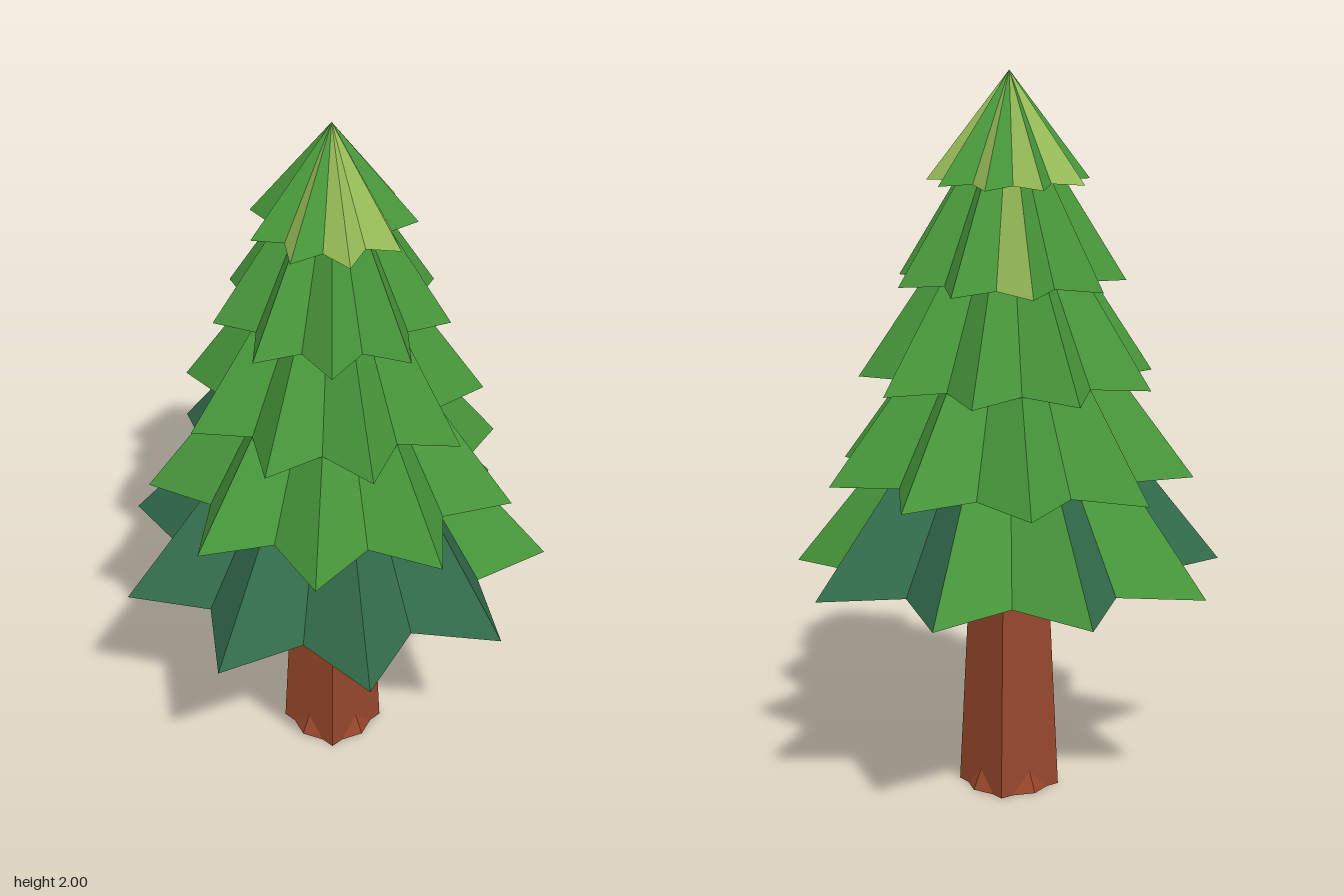
import * as THREE from 'three';

const mat = (name, color) => {
  const m = new THREE.MeshStandardMaterial({ color, flatShading: true });
  m.name = name;
  return m;
};

// Flat-faced geometry from a list of corner points, three per face
function facets(points) {
  const g = new THREE.BufferGeometry().setFromPoints(points);
  g.computeVertexNormals();
  return g;
}

function addMesh(parent, name, geometry, material) {
  const mesh = new THREE.Mesh(geometry, material);
  mesh.name = name;
  parent.add(mesh);
  return mesh;
}

export function createModel() {
  const model = new THREE.Group();
  model.name = 'pineTree';
  const tree = new THREE.Group();
  tree.name = 'tree';
  tree.position.set(-0.006, 0, -0.011);
  model.add(tree);

  const bark = mat('barkBrown', 0x97472b);
  const leaf = {
    G: mat('leafGreen', 0x48983b),
    T: mat('deepTeal', 0x336d4d),
    Y: mat('limeGreen', 0x99bf59),
  };

  // Square tapering trunk
  const trunk = new THREE.CylinderGeometry(0.068 * Math.SQRT2, 0.099 * Math.SQRT2, 0.9, 4);
  trunk.rotateY(Math.PI / 4).translate(0, 0.45, 0);
  addMesh(tree, 'trunk', trunk, bark);

  // One small root wedge on each side of the trunk
  const left = new THREE.Vector3(-0.07, 0, 0.095);
  const right = new THREE.Vector3(0.07, 0, 0.095);
  const toe = new THREE.Vector3(0, 0, 0.122);
  const top = new THREE.Vector3(0, 0.06, 0.096);
  const rootShape = facets([left, toe, top, toe, right, top, left, right, toe]);
  for (let i = 0; i < 4; i++) {
    addMesh(tree, 'root', rootShape, bark).rotation.y = (i * Math.PI) / 2;
  }

  // Star-shaped tiers: nine points, two coloured facets per point
  const tiers = [
    { y: 0.623, apex: 1.385, r: 0.6, turn: 5.5, colors: 'TGGGTTTTTTTTTGTGGT' },
    { y: 0.895, apex: 1.58, r: 0.506, turn: 20, colors: 'GGGGGGGGGGGGTGGGGG' },
    { y: 1.165, apex: 1.79, r: 0.412, turn: 0, colors: 'GGGGGGGGGGGGGGGGGG' },
    { y: 1.435, apex: 1.95, r: 0.317, turn: 15, colors: 'GGGGGGGGGGGGGGGYGG' },
    { y: 1.705, apex: 2, r: 0.224, turn: 3, colors: 'GYYGYYYYGYGGGYGYGY' },
  ];
  tiers.forEach((t, n) => {
    const tier = new THREE.Group();
    tier.name = 'foliageTier' + (n + 1);
    tree.add(tier);

    const peak = new THREE.Vector3(0, t.apex, 0);
    // The underside is hollowed upwards to this point
    const hub = new THREE.Vector3(0, t.y + 0.26 * t.r, 0);
    // Even steps are point tips, odd steps are the raised notches between them
    const rim = (i) => {
      const a = THREE.MathUtils.degToRad(t.turn + i * 20);
      const notch = i % 2 !== 0;
      const r = t.r * (notch ? 0.72 : 1);
      return new THREE.Vector3(r * Math.cos(a), t.y + (notch ? 0.03 * t.r : 0), r * Math.sin(a));
    };

    const faces = { G: [], T: [], Y: [] };
    const under = [];
    for (let i = 0; i < 18; i++) {
      const a = rim(i - 1);
      const b = rim(i);
      faces[t.colors[i]].push(peak, b, a);
      under.push(hub, a, b);
    }
    for (const key in faces) {
      if (faces[key].length) addMesh(tier, 'needles', facets(faces[key]), leaf[key]);
    }
    addMesh(tier, 'underside', facets(under), leaf.T);
  });

  return model;
}
